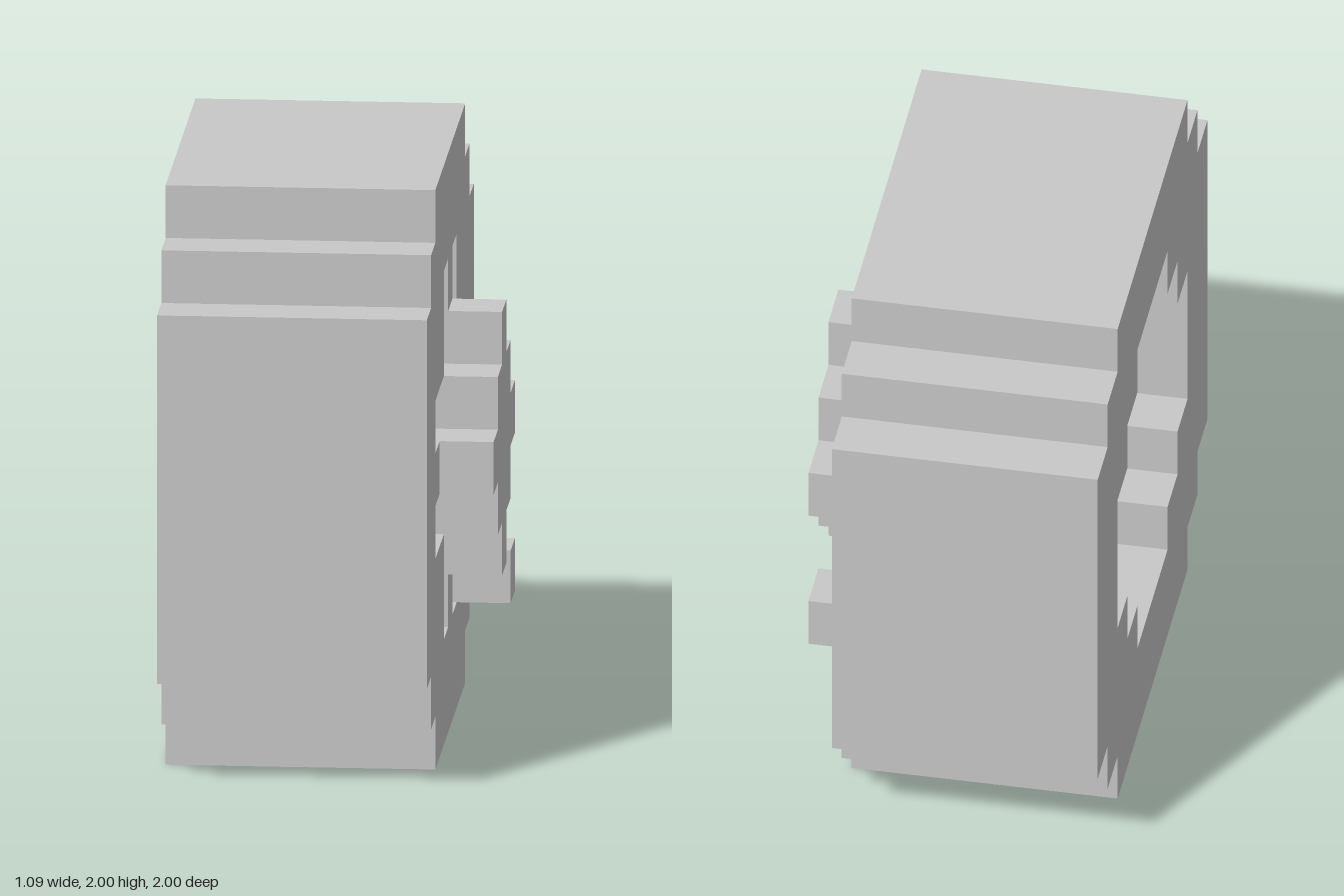
import * as THREE from 'three';

const U = 2 / 11; // one block
const layerX = (layer) => (layer - 3) * U; // layers 0..6 run from -x to +x

// Stepped round outline, counter-clockwise, from the block width of each row
function steppedPoints(widths) {
  const top = widths.length / 2;
  const side = [];
  widths.forEach((w, i) => {
    side.push([-w / 2, top - i], [-w / 2, top - i - 1]);
  });
  const other = side.map(([a, b]) => [-a, b]).reverse();
  return [...side, ...other].map(([a, b]) => new THREE.Vector2(a * U, b * U));
}

export function createModel() {
  const group = new THREE.Group();
  const grey = new THREE.MeshStandardMaterial({ color: 0xc8c8c8 });
  grey.name = 'grey';

  // Extrudes a stepped disc along x between two layers
  function disc(name, widths, from, to, holeWidths) {
    const shape = new THREE.Shape(steppedPoints(widths));
    if (holeWidths) shape.holes.push(new THREE.Path(steppedPoints(holeWidths)));
    const geo = new THREE.ExtrudeGeometry(shape, { depth: (to - from) * U, bevelEnabled: false });
    geo.rotateY(Math.PI / 2);
    const mesh = new THREE.Mesh(geo, grey);
    mesh.name = name;
    mesh.position.set(layerX(from), 1, 0);
    group.add(mesh);
  }

  // One block at a row (from the top), column (from +z) and layer
  function block(name, row, col, layer) {
    const mesh = new THREE.Mesh(new THREE.BoxGeometry(U, U, U), grey);
    mesh.name = name;
    mesh.position.set(layerX(layer + 0.5), (10.5 - row) * U, (5 - col) * U);
    group.add(mesh);
  }

  const outer = [7, 9, 11, 11, 11, 11, 11, 11, 11, 9, 7];
  const inner = [3, 5, 7, 7, 7, 5, 3];

  // Tyre ring, wheel plate and raised hub
  disc('tyre', outer, 0, 5, inner);
  disc('wheelPlate', inner, 2, 4);
  disc('hub', [1, 3, 5, 3, 1], 4, 6);

  // Spoke ends and corner fillers on the outer side
  [[2, 5], [8, 5], [5, 2], [5, 8]].forEach(([r, c]) => block('spokeEnd', r, c, 4));
  [[3, 3], [3, 7], [7, 3]].forEach(([r, c]) => block('spokeCorner', r, c, 4));

  // Small block standing out of the tyre face
  block('valve', 8, 7, 5);

  // Lugs on the inner side
  [[5, 5], [3, 5], [7, 5], [4, 3], [6, 3], [4, 7], [6, 7]].forEach(([r, c]) => block('lug', r, c, 1));

  return group;
}
